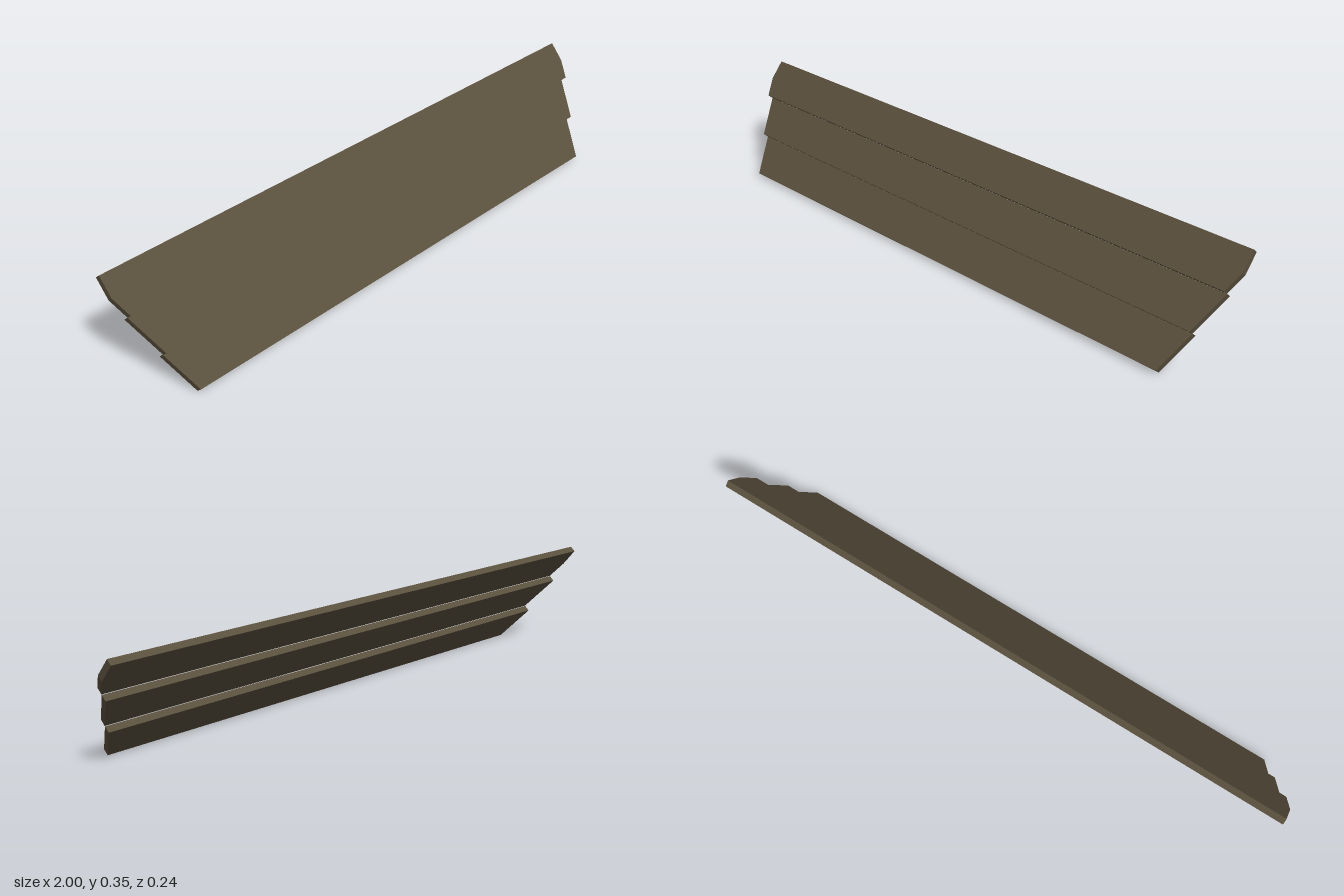
import * as THREE from 'three';

const PLANK = 0.1343;      // plank height along the slope
const THICK = 0.0215;      // plank thickness
const STEP = 0.023;        // each plank sits one thickness in front of the one below
const KINK = 0.333;        // slope distance where the ends stop flaring
const HALF_BOTTOM = 0.877;

// half width of the panel at a distance up the slope
const halfWidth = s => Math.min(1, HALF_BOTTOM + (1 - HALF_BOTTOM) * s / KINK);

export function createModel() {
  const model = new THREE.Group();
  const wood = new THREE.MeshStandardMaterial({ color: 0x5a4f3d });
  wood.name = 'darkWood';

  // sloping panel: local y runs up the slope, local z is the outward side
  const panel = new THREE.Group();
  panel.name = 'slopingPanel';
  panel.rotation.x = -0.71;
  model.add(panel);

  ['lowerPlank', 'middlePlank', 'upperPlank'].forEach((name, i) => {
    const lo = i * PLANK, hi = lo + PLANK;
    const levels = lo < KINK && KINK < hi ? [lo, KINK, hi] : [lo, hi];
    const right = levels.map(s => new THREE.Vector2(halfWidth(s), s));
    const left = levels.map(s => new THREE.Vector2(-halfWidth(s), s)).reverse();
    const geometry = new THREE.ExtrudeGeometry(new THREE.Shape([...right, ...left]), {
      depth: THICK, bevelEnabled: false,
    });
    const plank = new THREE.Mesh(geometry, wood);
    plank.name = name;
    plank.position.set(0, -0.068, 0.081 + i * STEP);
    panel.add(plank);
  });

  return model;
}
